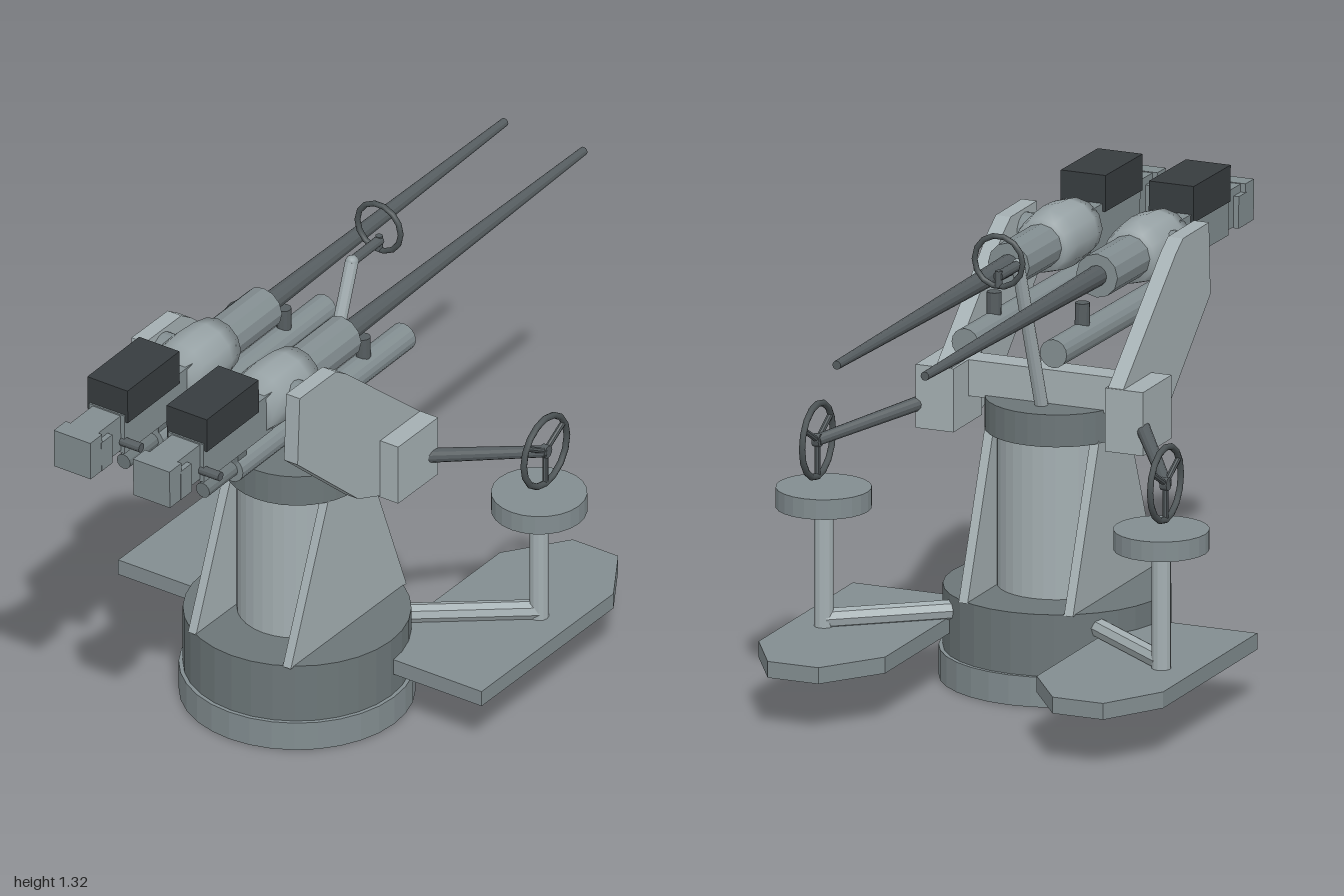
import * as THREE from 'three';

const paint = (color, flatShading = true) => new THREE.MeshStandardMaterial({ color, flatShading });
const light = paint(0xa4afb2);
const lightSmooth = paint(0x98a3a6, false);
const mid = paint(0x828d90);
const deep = paint(0x6c7678);
const steel = paint(0x565d60);
const steelSmooth = paint(0x4c5355, false);
const black = paint(0x373c3f);

function add(parent, name, geometry, material) {
  const mesh = new THREE.Mesh(geometry, material);
  mesh.name = name;
  parent.add(mesh);
  return mesh;
}

// Box given by its minimum and maximum corners
function box(parent, name, a, b, material) {
  const g = new THREE.BoxGeometry(b[0] - a[0], b[1] - a[1], b[2] - a[2]);
  g.translate((a[0] + b[0]) / 2, (a[1] + b[1]) / 2, (a[2] + b[2]) / 2);
  return add(parent, name, g, material);
}

// Round bar from a to b, optionally tapered
function rod(parent, name, material, a, b, r0, r1 = r0, sides = 12) {
  const p = new THREE.Vector3(...a), q = new THREE.Vector3(...b);
  const dir = q.clone().sub(p);
  const mesh = add(parent, name, new THREE.CylinderGeometry(r1, r0, dir.length(), sides), material);
  mesh.position.copy(p).add(q).multiplyScalar(0.5);
  mesh.quaternion.setFromUnitVectors(new THREE.Vector3(0, 1, 0), dir.normalize());
  return mesh;
}

function extrude(points, depth) {
  const shape = new THREE.Shape(points.map(([x, y]) => new THREE.Vector2(x, y)));
  return new THREE.ExtrudeGeometry(shape, { depth, bevelEnabled: false });
}

// Plate with a (z, y) outline between x0 and x1
function sidePlate(parent, name, points, x0, x1) {
  return add(parent, name, extrude(points, x1 - x0).rotateY(-Math.PI / 2).translate(x1, 0, 0), light);
}

function buildGun(x) {
  const gun = new THREE.Group();
  gun.name = 'gun';
  gun.position.set(x, 1.125, 0);
  gun.rotation.x = 0.017;

  rod(gun, 'barrel', steel, [0, 0, 0.14], [0, 0, -1], 0.029, 0.012);
  rod(gun, 'barrelSleeve', mid, [0, 0, 0.36], [0, 0, 0.115], 0.06);

  // Swollen housing around the breech
  const profile = [[0, 0.325], [0.074, 0.325], [0.085, 0.38], [0.089, 0.44], [0.086, 0.5], [0.078, 0.55], [0, 0.55]]
    .map(([r, z]) => new THREE.Vector2(r, z));
  add(gun, 'breechHousing', new THREE.LatheGeometry(profile, 12).rotateX(Math.PI / 2), lightSmooth);

  // Receiver and rear block
  box(gun, 'receiver', [-0.057, -0.062, 0.52], [0.057, 0.056, 0.84], mid);
  box(gun, 'receiverNeck', [-0.045, -0.055, 0.83], [0.045, 0.052, 0.96], mid);
  box(gun, 'rearBlock', [-0.059, -0.058, 0.945], [0.059, 0.054, 1], mid);
  for (const s of [-1, 1]) {
    box(gun, 'rearCheek', [s * 0.052 - 0.008, -0.058, 0.9], [s * 0.052 + 0.008, 0.03, 0.95], mid);
  }
  rod(gun, 'cockingHandle', steel, [0.03, -0.028, 0.835], [0.108, -0.028, 0.835], 0.013);
  box(gun, 'magazine', [-0.065, 0.034, 0.595], [0.065, 0.134, 0.835], black);

  // Recoil cylinder below the barrel
  rod(gun, 'recoilCylinder', mid, [0, -0.145, 0.635], [0, -0.145, -0.165], 0.039, 0.039, 16);
  rod(gun, 'recoilRod', deep, [0, -0.145, 0.765], [0, -0.145, 0.62], 0.022);
  box(gun, 'recoilLink', [-0.023, -0.13, 0.595], [0.023, -0.05, 0.635], deep);
  rod(gun, 'cylinderPlug', steel, [0, -0.13, 0.022], [0, -0.05, 0.022], 0.02);
  return gun;
}

function buildHandwheel() {
  const wheel = new THREE.Group();
  wheel.name = 'handwheel';
  add(wheel, 'rim', new THREE.TorusGeometry(0.1, 0.009, 8, 16).rotateY(Math.PI / 2), steelSmooth);
  rod(wheel, 'hub', steel, [-0.01, 0, 0], [0.01, 0, 0], 0.018);
  for (let i = 0; i < 3; i++) {
    const a = -Math.PI / 2 + i * Math.PI * 2 / 3;
    rod(wheel, 'spoke', steel, [0, 0, 0], [0, 0.1 * Math.sin(a), 0.1 * Math.cos(a)], 0.008, 0.008, 8);
  }
  return wheel;
}

// Seat, arm, platform and handwheel for one side: s = 1 left, s = -1 right
function buildSide(s) {
  const side = new THREE.Group();
  side.name = s > 0 ? 'leftSide' : 'rightSide';
  const span = (a, b) => [Math.min(s * a, s * b), Math.max(s * a, s * b)];

  // Tapered web on the pedestal
  sidePlate(side, 'pedestalWeb', [[0.41, 0.25], [-0.125, 0.25], [0.045, 0.69], [0.235, 0.69]], ...span(0.14, 0.166));

  // Gun arm, end box and trunnion
  sidePlate(side, 'gunArm', [[0.52, 1.18], [0.53, 0.98], [0.25, 0.735], [0.15, 0.695], [-0.035, 0.695],
    [-0.035, 0.866], [0.305, 1.15], [0.352, 1.18]], ...span(0.228, 0.272));
  const [x0, x1] = span(0.22, 0.33);
  box(side, 'gearBox', [x0, 0.69, -0.037], [x1, 0.865, 0.148], light);
  rod(side, 'trunnion', mid, [s * 0.15, 1.12, 0.44], [s * 0.24, 1.12, 0.44], 0.05, 0.05, 16);

  // Handwheel on its slanted shaft
  rod(side, 'wheelShaft', steel, [s * 0.27, 0.772, 0.06], [s * 0.505, 0.7, -0.28], 0.021, 0.016);
  const wheel = buildHandwheel();
  wheel.position.set(s * 0.505, 0.7, -0.282);
  side.add(wheel);

  // Seat, post and bracket
  rod(side, 'seat', mid, [s * 0.49, 0.517, -0.275], [s * 0.49, 0.572, -0.275], 0.128, 0.128, 24);
  rod(side, 'seatPost', light, [s * 0.49, 0.18, -0.275], [s * 0.49, 0.53, -0.275], 0.026);
  rod(side, 'seatBracket', light, [s * 0.15, 0.208, -0.01], [s * 0.49, 0.208, -0.275], 0.027, 0.027, 8);

  // Foot platform with clipped rear corners
  const outline = [[0.22, 0.13], [0.587, 0.13], [0.587, -0.48], [0.487, -0.645], [0.34, -0.645], [0.22, -0.48]];
  const platform = extrude(outline.map(([x, z]) => [s * x, z]), 0.045);
  add(side, 'platform', platform.rotateX(Math.PI / 2).translate(0, 0.188, 0), mid);
  return side;
}

export function createModel() {
  const model = new THREE.Group();
  model.name = 'twinGunMount';

  // Pedestal
  const cz = 0.143;
  const stack = [['baseRing', mid, 0, 0.083, 0.314], ['baseDrum', deep, 0.08, 0.253, 0.303],
    ['column', light, 0.25, 0.69, 0.16], ['turntable', deep, 0.683, 0.772, 0.192]];
  for (const [name, material, y0, y1, r] of stack) rod(model, name, material, [0, y0, cz], [0, y1, cz], r, r, 32);

  // Cradle beam with a chamfered front edge
  sidePlate(model, 'crossBeam', [[0.06, 0.765], [0.17, 0.765], [0.17, 0.81], [0.135, 0.865], [0.06, 0.865]], -0.24, 0.24);

  for (const s of [-1, 1]) {
    model.add(buildSide(s));
    model.add(buildGun(s * 0.128));
  }

  // Ring sight on a cranked post
  const elbow = [0, 1.197, -0.11];
  rod(model, 'sightPost', light, [0, 0.77, 0.042], elbow, 0.018);
  rod(model, 'sightArm', steel, elbow, [0, 1.2, -0.24], 0.014);
  add(model, 'sightElbow', new THREE.SphereGeometry(0.018, 12, 8), lightSmooth).position.set(...elbow);
  add(model, 'sightRing', new THREE.TorusGeometry(0.07, 0.008, 8, 14), steelSmooth).position.set(0, 1.241, -0.236);
  rod(model, 'sightStem', steel, [0, 1.17, -0.236], [0, 1.215, -0.236], 0.01);

  return model;
}
